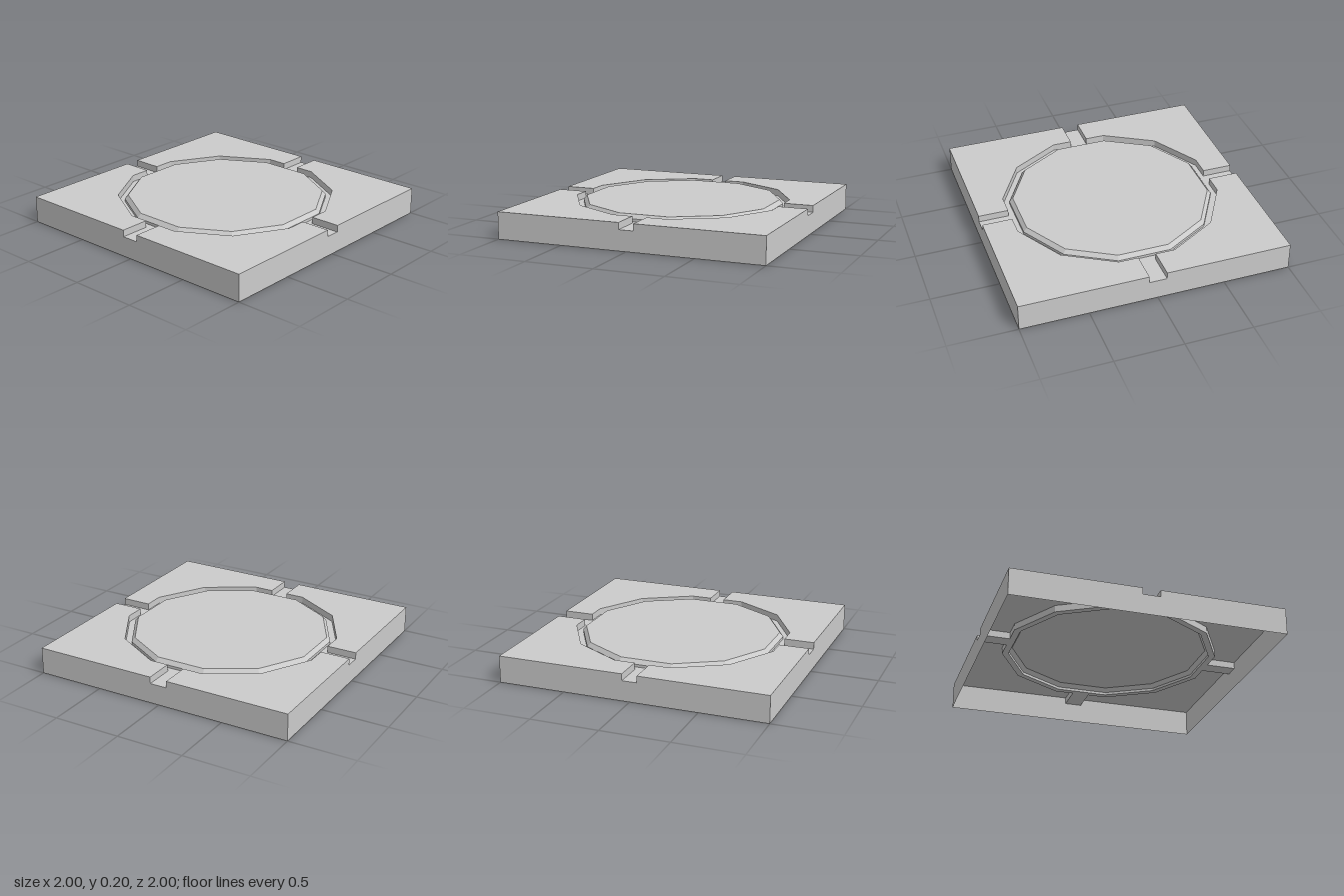
import * as THREE from 'three';

const TOP = 0.2, BEVEL = 0.17, FLOOR = 0.15; // heights
const W = 0.055, D = 0.065;                  // half widths of the z and x channels
const material = new THREE.MeshStandardMaterial({ color: 0xcccccc, flatShading: true, side: THREE.DoubleSide });

const vectors = (points) => points.map(([x, y]) => new THREE.Vector2(x, y));

// Twelve-sided ring, given by the distance from its centre to a flat side
function dodecagon(apothem) {
  const r = apothem / Math.cos(Math.PI / 12);
  return Array.from({ length: 12 }, (_, i) => {
    const a = (i + 0.5) * Math.PI / 6;
    return [r * Math.cos(a), r * Math.sin(a)];
  });
}

// Horizontal face at height y; plan coordinates are (x, -z)
function plate(points, y, hole) {
  const shape = new THREE.Shape(vectors(points));
  if (hole) shape.holes.push(new THREE.Path(vectors(hole)));
  return new THREE.ShapeGeometry(shape).rotateX(-Math.PI / 2).translate(0, y, 0);
}

// Strip of quads between a lower and an upper path
function wall(lower, y0, upper, y1, closed) {
  const pos = [], n = lower.length;
  const at = (path, i, y) => [path[i % n][0], y, -path[i % n][1]];
  for (let i = 0; i < (closed ? n : n - 1); i++) {
    const a = at(lower, i, y0), b = at(lower, i + 1, y0);
    const c = at(upper, i + 1, y1), d = at(upper, i, y1);
    pos.push(...a, ...b, ...c, ...a, ...c, ...d);
  }
  const g = new THREE.BufferGeometry();
  g.setAttribute('position', new THREE.Float32BufferAttribute(pos, 3));
  g.computeVertexNormals();
  return g;
}

export function createModel() {
  const model = new THREE.Group();
  const add = (name, geometry) => {
    const mesh = new THREE.Mesh(geometry, material);
    mesh.name = name;
    model.add(mesh);
    return mesh;
  };

  // Channel edge in one quarter, from the side channel round to the front channel
  const rim = dodecagon(0.777);
  const quarter = [[1, D], [0.777, D], ...rim.slice(0, 3), [W, 0.777], [W, 1]];

  // Four raised corners with the channel walls around them
  const outline = [];
  for (const [sx, sy] of [[1, 1], [-1, 1], [-1, -1], [1, -1]]) {
    const path = quarter.map(([x, y]) => [x * sx, y * sy]);
    add('cornerTop', plate([...path, [sx, sy]], TOP));
    if (sx * sy < 0) path.reverse();
    const inward = [...path].reverse();
    add('channelWall', wall(inward, FLOOR, inward, TOP, false));
    outline.push(...path);
  }

  // Sunken floor of the ring and the four channels
  const foot = dodecagon(0.73), crown = dodecagon(0.705);
  add('channelFloor', plate(outline, FLOOR, foot));

  // Central island: upright foot, bevelled edge, flat top
  add('islandFoot', wall(foot, FLOOR, foot, BEVEL, true));
  add('islandBevel', wall(foot, BEVEL, crown, TOP, true));
  add('islandTop', plate(crown, TOP));

  // Outer sides, each notched where a channel runs out; the bottom is open
  for (let i = 0; i < 4; i++) {
    const w = i % 2 ? D : W;
    const side = new THREE.Shape(vectors([
      [-1, 0], [1, 0], [1, TOP], [w, TOP], [w, FLOOR], [-w, FLOOR], [-w, TOP], [-1, TOP],
    ]));
    const geometry = new THREE.ShapeGeometry(side).translate(0, 0, 1).rotateY(i * Math.PI / 2);
    add('outerSide', geometry);
  }
  return model;
}
